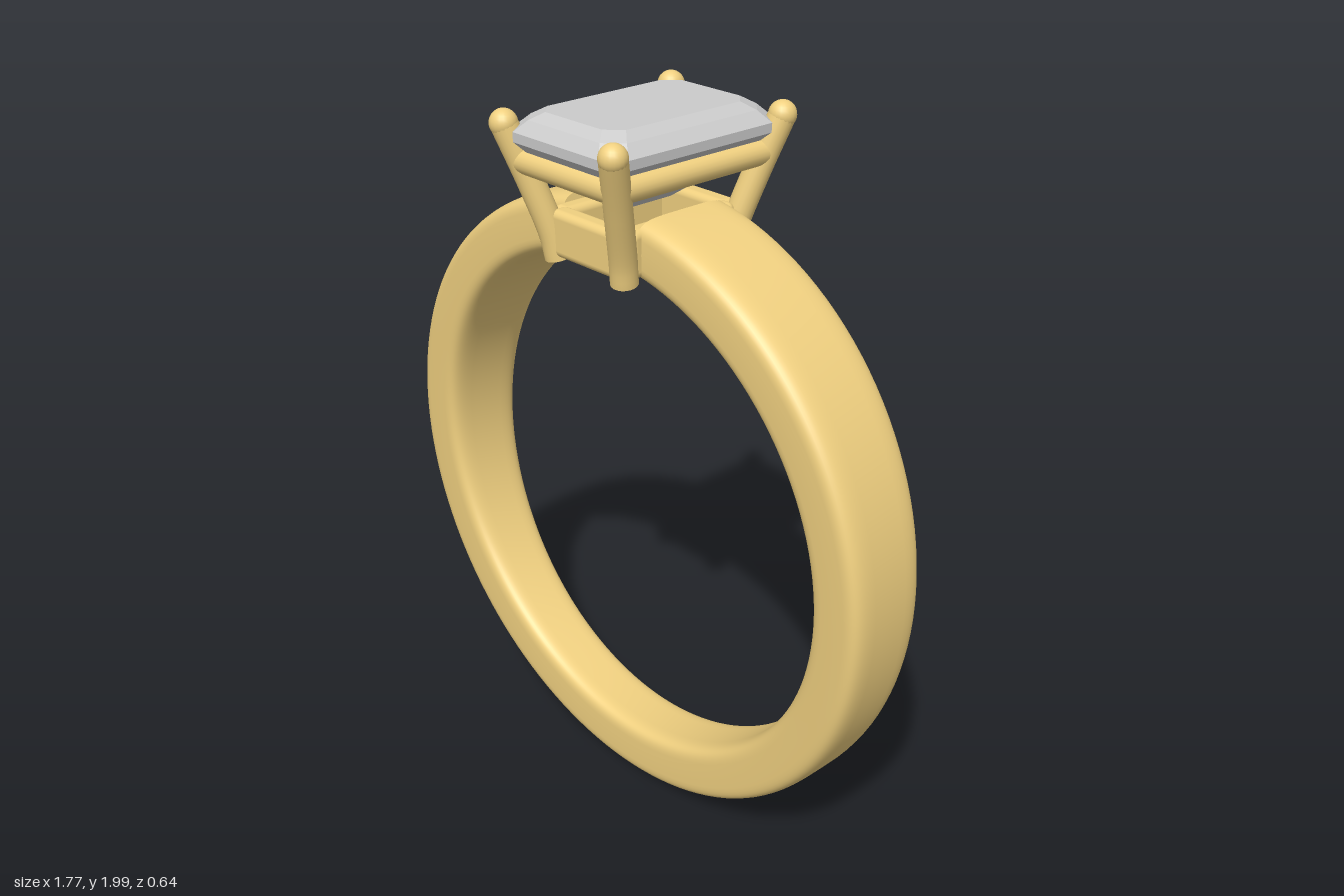
import * as THREE from 'three';
import { RoundedBoxGeometry } from 'three/addons/geometries/RoundedBoxGeometry.js';

const gold = new THREE.MeshStandardMaterial({ color: 0xf0d080 });
const stoneGrey = new THREE.MeshStandardMaterial({ color: 0xcccccc, flatShading: true });

function add(parent, name, geometry, material = gold) {
  const mesh = new THREE.Mesh(geometry, material);
  mesh.name = name;
  parent.add(mesh);
  return mesh;
}

// Joins equal-sized loops of points into a skin, with a fan over each end
function loft(loops) {
  const n = loops[0].length, pos = [], index = [];
  loops.forEach((loop) => loop.forEach((p) => pos.push(p.x, p.y, p.z)));
  for (let i = 0; i < loops.length - 1; i++) {
    for (let j = 0; j < n; j++) {
      const a = i * n + j, b = i * n + (j + 1) % n;
      index.push(a, b, a + n, b, b + n, a + n);
    }
  }
  [[loops[0], true], [loops[loops.length - 1], false]].forEach(([loop, flip]) => {
    const start = pos.length / 3;
    const mid = loop.reduce((s, p) => s.add(p), new THREE.Vector3()).divideScalar(n);
    [...loop, mid].forEach((p) => pos.push(p.x, p.y, p.z));
    for (let j = 0; j < n; j++) {
      const a = start + j, b = start + (j + 1) % n;
      if (flip) index.push(b, a, start + n);
      else index.push(a, b, start + n);
    }
  });
  const g = new THREE.BufferGeometry();
  g.setAttribute('position', new THREE.Float32BufferAttribute(pos, 3));
  g.setIndex(index);
  g.computeVertexNormals();
  return g;
}

// Band: soft rectangular section, wider towards the top, open under the stone
function bandGeometry() {
  const gap = 0.165, steps = 128, sides = 48, loops = [];
  const soft = (v) => Math.sign(v) * Math.abs(v) ** (2 / 5);
  for (let i = 0; i <= steps; i++) {
    const t = gap + (i / steps) * (2 * Math.PI - 2 * gap);
    const halfWidth = 0.123 + 0.029 * Math.cos(t);
    const loop = [];
    for (let j = 0; j < sides; j++) {
      const a = (j / sides) * 2 * Math.PI;
      const r = 0.805 + 0.081 * soft(Math.cos(a));
      loop.push(new THREE.Vector3(r * Math.sin(t), 0.892 + r * Math.cos(t), halfWidth * soft(Math.sin(a))));
    }
    loops.push(loop);
  }
  return loft(loops);
}

// Step-cut stone: eight-sided levels as [y, half width, half depth, corner cut]
function stoneGeometry() {
  const levels = [
    [1.745, 0.004, 0.09, 0.002], [1.79, 0.06, 0.155, 0.015], [1.84, 0.115, 0.215, 0.03],
    [1.925, 0.21, 0.29, 0.05], [1.95, 0.21, 0.29, 0.05], [1.98, 0.178, 0.262, 0.045], [2, 0.145, 0.23, 0.04],
  ];
  return loft(levels.map(([y, w, d, c]) => [
    [w, d - c], [w, c - d], [w - c, -d], [c - w, -d], [-w, c - d], [-w, d - c], [c - w, d], [w - c, d],
  ].map(([x, z]) => new THREE.Vector3(x, y, z))));
}

export function createModel() {
  const ring = new THREE.Group();
  ring.name = 'ring';
  add(ring, 'band', bandGeometry());
  add(ring, 'stone', stoneGeometry(), stoneGrey);

  // Four prongs, upright at the foot and leaning outwards, with round tips
  const prongs = new THREE.Group();
  prongs.name = 'prongs';
  ring.add(prongs);
  for (const sx of [-1, 1]) {
    for (const sz of [-1, 1]) {
      const path = new THREE.CatmullRomCurve3([
        [0.127, 1.61, 0.182], [0.134, 1.67, 0.192], [0.165, 1.81, 0.233], [0.204, 1.963, 0.283],
      ].map(([x, y, z]) => new THREE.Vector3(sx * x, y, sz * z)));
      add(prongs, 'prong', new THREE.TubeGeometry(path, 20, 0.036, 20));
      add(prongs, 'prongTip', new THREE.SphereGeometry(0.037, 20, 14)).position.copy(path.getPoint(1));
      const foot = add(prongs, 'prongFoot', new THREE.CircleGeometry(0.036, 20));
      foot.position.copy(path.getPoint(0));
      foot.lookAt(foot.position.clone().sub(path.getTangent(0)));
    }
  }

  // Upper rail of round rods and lower frame of bars, both between the prongs
  const gallery = new THREE.Group();
  gallery.name = 'gallery';
  ring.add(gallery);
  for (const s of [-1, 1]) {
    const cross = add(gallery, 'crossRail', new THREE.CylinderGeometry(0.034, 0.034, 0.36, 20));
    cross.rotation.z = Math.PI / 2;
    cross.position.set(0, 1.87, s * 0.252);
    const side = add(gallery, 'sideRail', new THREE.CylinderGeometry(0.034, 0.034, 0.5, 20));
    side.rotation.x = Math.PI / 2;
    side.position.set(s * 0.178, 1.87, 0);
    add(gallery, 'crossBar', new RoundedBoxGeometry(0.26, 0.125, 0.06, 3, 0.02)).position.set(0, 1.682, s * 0.18);
    add(gallery, 'sideBar', new RoundedBoxGeometry(0.06, 0.125, 0.36, 3, 0.02)).position.set(s * 0.125, 1.682, 0);
  }
  return ring;
}
